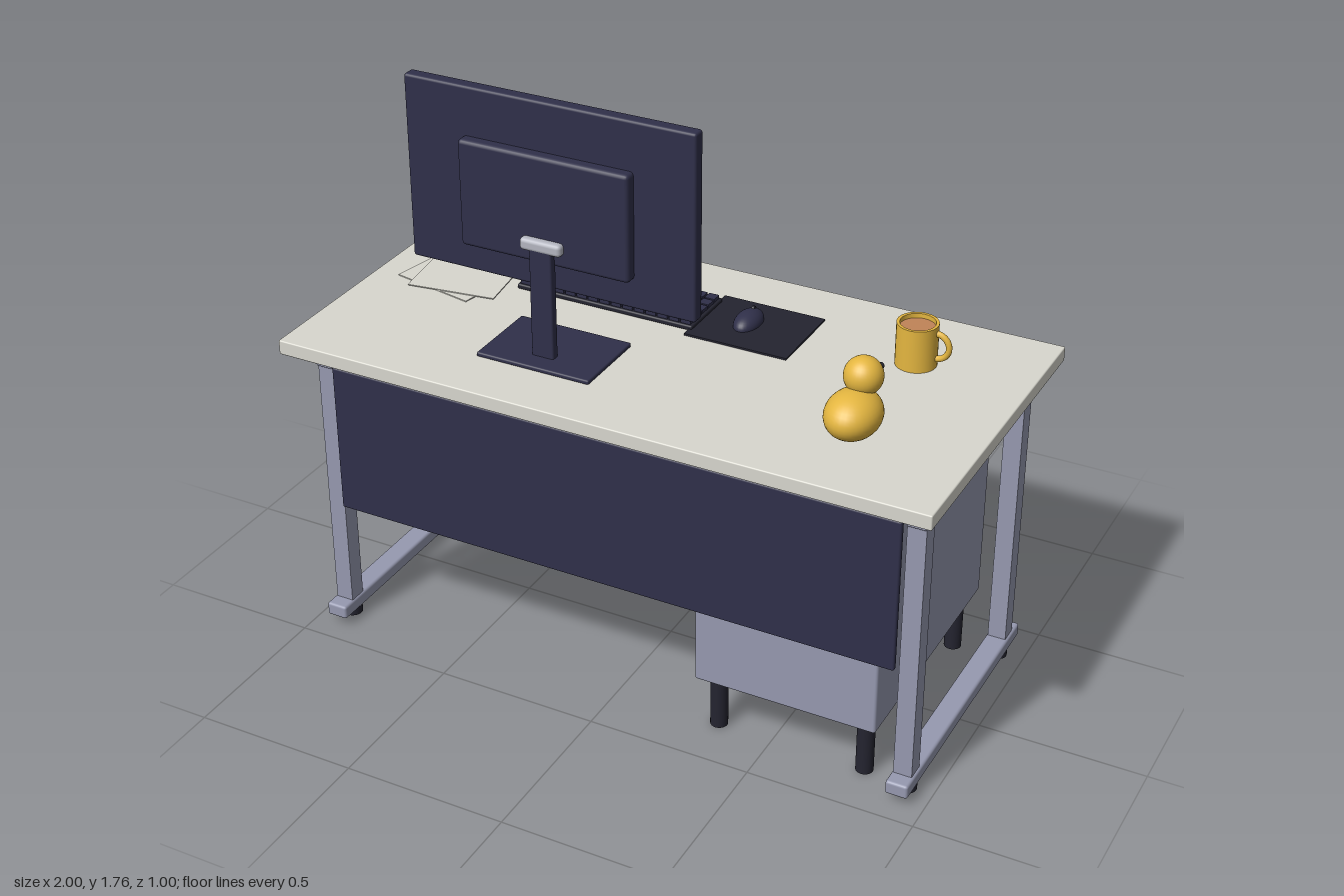
import * as THREE from 'three';
import { toCreasedNormals } from 'three/addons/utils/BufferGeometryUtils.js';
import { RoundedBoxGeometry } from 'three/addons/geometries/RoundedBoxGeometry.js';

const paint = (name, color) => {
  const m = new THREE.MeshStandardMaterial({ color });
  m.name = name;
  return m;
};

export function createModel() {
  const cream = paint('cream', 0xd8d7ce);
  const navy = paint('navy', 0x30304a);
  const black = paint('black', 0x242430);
  const steel = paint('steel', 0x9699b0);
  const silver = paint('silver', 0xb4b6c0);
  const teal = paint('teal', 0x30a3a0);
  const green = paint('green', 0x5cc488);
  const yellow = paint('yellow', 0xe4b640);
  const amber = paint('amber', 0xdca038);
  const brown = paint('brown', 0xc08458);

  const model = new THREE.Group();
  model.name = 'officeDesk';

  const group = (name, parent = model) => {
    const g = new THREE.Group();
    g.name = name;
    parent.add(g);
    return g;
  };
  const add = (parent, name, geometry, material, x = 0, y = 0, z = 0) => {
    const mesh = new THREE.Mesh(geometry, material);
    mesh.name = name;
    mesh.position.set(x, y, z);
    parent.add(mesh);
    return mesh;
  };
  // Box given by its minimum and maximum on each axis, with optional rounding
  const box = (parent, name, material, [x0, x1], [y0, y1], [z0, z1], radius = 0) => {
    const size = [x1 - x0, y1 - y0, z1 - z0];
    const geometry = radius ? new RoundedBoxGeometry(...size, 2, radius) : new THREE.BoxGeometry(...size);
    return add(parent, name, geometry, material, (x0 + x1) / 2, (y0 + y1) / 2, (z0 + z1) / 2);
  };
  const rod = (parent, name, material, r, length, x, y, z, axis = 'y') => {
    const geometry = new THREE.CylinderGeometry(r, r, length, 24);
    if (axis === 'x') geometry.rotateZ(Math.PI / 2);
    if (axis === 'z') geometry.rotateX(Math.PI / 2);
    return add(parent, name, geometry, material, x, y, z);
  };
  const ellipsoid = (parent, name, material, rx, ry, rz, x, y, z) =>
    add(parent, name, new THREE.SphereGeometry(1, 32, 20).scale(rx, ry, rz), material, x, y, z);

  // Table top, under-frame and modesty panel
  const table = group('table');
  box(table, 'tableTop', cream, [-1, 1], [0.955, 1], [-0.5, 0.5], 0.004);
  box(table, 'underFrame', navy, [-0.975, 0.975], [0.93, 0.956], [-0.47, 0.46]);
  box(table, 'modestyPanel', navy, [-0.888, 0.885], [0.42, 0.895], [0.392, 0.41], 0.006);

  // Side frames
  for (const s of [-1, 1]) {
    const frame = group(s > 0 ? 'leftFrame' : 'rightFrame');
    const span = (a, b) => (s > 0 ? [a, b] : [-b, -a]);
    box(frame, 'topRail', steel, span(0.893, 0.95), [0.88, 0.93], [-0.4, 0.4], 0.006);
    box(frame, 'footRail', steel, span(0.888, 0.955), [0.027, 0.07], [-0.437, 0.437], 0.008);
    for (const z of [-0.363, 0.363]) {
      box(frame, 'leg', steel, span(0.893, 0.948), [0.06, 0.89], [z - 0.028, z + 0.028]);
      rod(frame, 'bolt', silver, 0.011, 0.014, s * 0.953, 0.905, z, 'x');
      rod(frame, 'levelingFoot', black, 0.029, 0.03, s * 0.921, 0.015, z * 0.97);
    }
  }

  // Drawer cabinet
  const cabinet = group('drawerCabinet');
  box(cabinet, 'cabinetBody', steel, [0.28, 0.835], [0.18, 0.92], [-0.397, 0.395], 0.008);
  for (const y of [0.25, 0.58]) {
    const drawer = group('drawer', cabinet);
    box(drawer, 'drawerFront', cream, [0.292, 0.823], [y, y + 0.31], [-0.415, -0.392], 0.005);
    rod(drawer, 'handleBar', silver, 0.008, 0.23, 0.557, y + 0.248, -0.446, 'x');
    for (const x of [0.462, 0.652])
      rod(drawer, 'handlePost', silver, 0.006, 0.036, x, y + 0.248, -0.43, 'z');
  }
  rod(cabinet, 'lock', silver, 0.012, 0.01, 0.785, 0.853, -0.417, 'z');
  for (const x of [0.33, 0.785])
    for (const z of [-0.333, 0.333]) rod(cabinet, 'cabinetLeg', black, 0.026, 0.182, x, 0.091, z);

  // Monitor and stand
  const monitor = group('monitor');
  box(monitor, 'monitorCase', navy, [-0.72, 0.18], [1.205, 1.76], [0.163, 0.205], 0.008);
  box(monitor, 'rearHousing', navy, [-0.535, -0.005], [1.295, 1.615], [0.195, 0.24], 0.012);
  box(monitor, 'screen', teal, [-0.69, 0.15], [1.262, 1.73], [0.159, 0.164]);
  rod(monitor, 'powerButton', silver, 0.009, 0.004, -0.27, 1.234, 0.162, 'z');
  const bars = [[0.04, 1.585, green], [-0.127, 1.49, amber], [-0.292, 1.41, amber], [-0.465, 1.345, brown]];
  for (const [x, top, color] of bars)
    box(monitor, 'chartBar', color, [x - 0.105, x], [1.295, top], [0.153, 0.16]);
  box(monitor, 'standNeck', navy, [-0.305, -0.235], [1, 1.36], [0.232, 0.26], 0.006);
  box(monitor, 'standHinge', silver, [-0.335, -0.205], [1.335, 1.372], [0.225, 0.262], 0.012);
  box(monitor, 'standBase', navy, [-0.45, -0.09], [1, 1.014], [0.07, 0.32], 0.005);

  // Keyboard
  const keyboard = group('keyboard');
  box(keyboard, 'keyboardBase', black, [-0.56, 0.02], [1, 1.016], [-0.29, -0.09], 0.005);
  const columns = 15, rows = 5, dx = 0.57 / columns, dz = 0.19 / rows;
  const keyGeometry = new THREE.BoxGeometry(dx - 0.006, 0.014, dz - 0.006);
  for (let r = 0; r < rows; r++)
    for (let c = 0; c < columns; c++) {
      if (r === 0 && c > 4 && c < 10) continue;
      add(keyboard, 'key', keyGeometry, navy, -0.555 + dx * (c + 0.5), 1.02, -0.285 + dz * (r + 0.5));
    }
  box(keyboard, 'spaceBar', navy, [-0.362, -0.178], [1.013, 1.027], [-0.282, -0.25]);

  // Mouse on its pad
  const pointer = group('mouseAndPad');
  box(pointer, 'mousePad', black, [0.01, 0.332], [1, 1.006], [-0.325, -0.06]);
  ellipsoid(pointer, 'mouse', navy, 0.039, 0.034, 0.066, 0.145, 1.008, -0.205);
  rod(pointer, 'scrollWheel', black, 0.009, 0.008, 0.145, 1.035, -0.238, 'x');

  // Loose sheets of paper
  const papers = group('papers');
  [-0.2, 0.14].forEach((turn, i) => {
    const sheet = add(papers, 'sheet', new THREE.BoxGeometry(0.275, 0.003, 0.39), cream, -0.745, 1.0025 + i * 0.004, -0.163);
    sheet.rotation.y = turn;
  });

  // Mug with a drink inside
  const mug = group('mug');
  mug.position.set(0.66, 1, -0.215);
  const profile = [[0, 0], [0.06, 0], [0.06, 0.13], [0.051, 0.13], [0.051, 0.01], [0, 0.01]]
    .map(([x, y]) => new THREE.Vector2(x, y));
  add(mug, 'mugBody', toCreasedNormals(new THREE.LatheGeometry(profile, 32), 0.6), yellow);
  add(mug, 'mugHandle', new THREE.TorusGeometry(0.039, 0.009, 10, 24, Math.PI).rotateZ(-Math.PI / 2), yellow, 0.057, 0.068, 0);
  rod(mug, 'drink', brown, 0.052, 0.004, 0, 0.114, 0);

  // Toy duck
  const duck = group('toyDuck');
  duck.position.set(0.662, 1, 0);
  ellipsoid(duck, 'duckBody', yellow, 0.078, 0.067, 0.098, 0, 0.067, 0.228);
  ellipsoid(duck, 'duckHead', yellow, 0.055, 0.055, 0.055, 0, 0.154, 0.17);
  const beak = new THREE.ConeGeometry(0.022, 0.058, 20).rotateX(-Math.PI / 2);
  add(duck, 'duckBeak', beak, amber, 0, 0.147, 0.1);
  for (const s of [-1, 1]) ellipsoid(duck, 'duckEye', black, 0.01, 0.01, 0.01, s * 0.031, 0.171, 0.13);

  return model;
}
